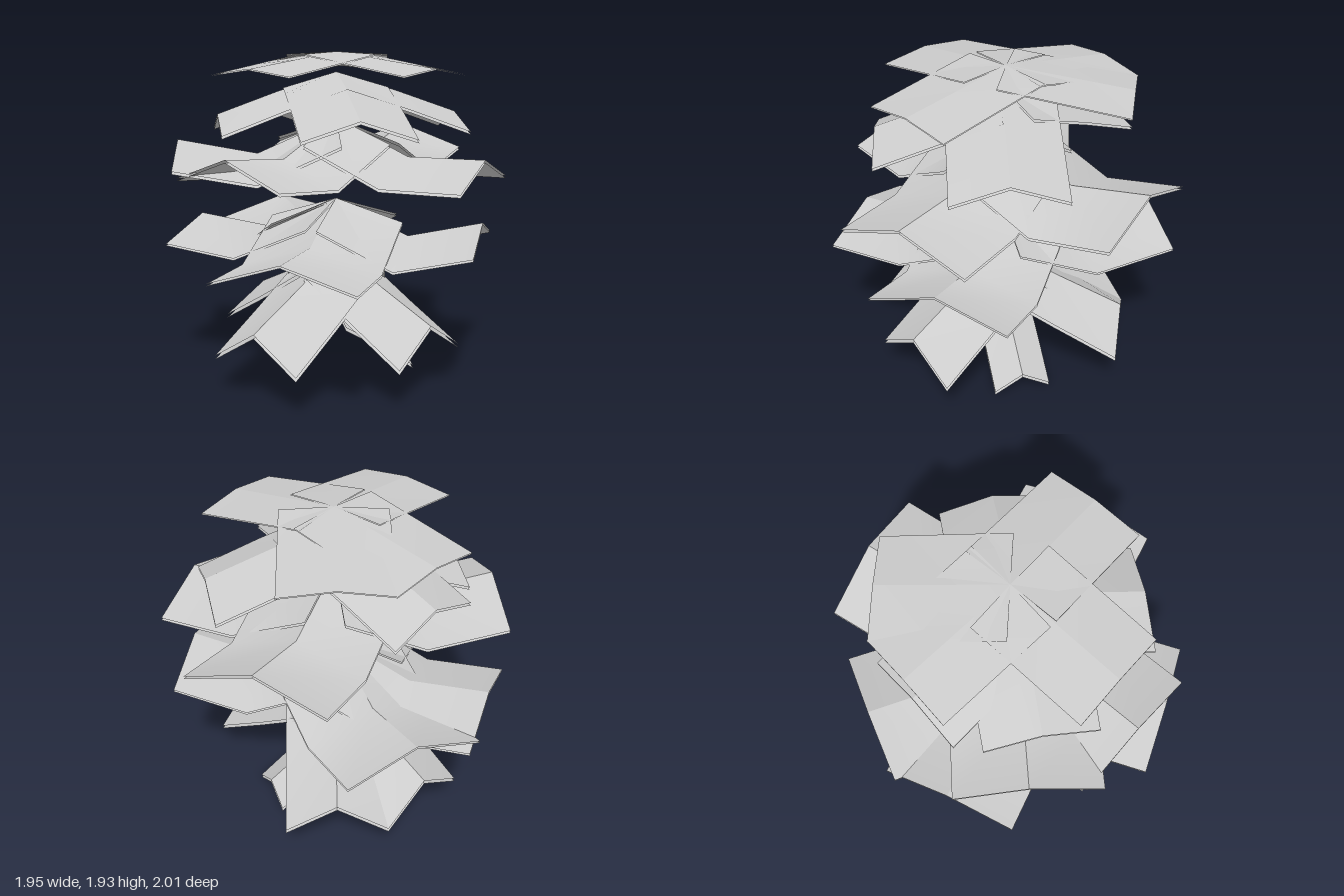
import * as THREE from 'three';

const material = new THREE.MeshStandardMaterial({ color: 0xcccccc, side: THREE.DoubleSide });

// One half of a roof-shaped leaf: runs along +z with its ridge at x = 0.
// The ridge bends once, halfway, between midDrop and tipDrop.
function halfLeaf(side, length, tipDrop, { halfWidth, midDrop, sideStart, sideEnd }) {
  const g = new THREE.PlaneGeometry(halfWidth, length, 1, 2);
  g.rotateX(-Math.PI / 2);
  g.translate(side * halfWidth / 2, 0, length / 2);
  const p = g.attributes.position;
  for (let i = 0; i < p.count; i++) {
    const t = p.getZ(i) / length;
    const s = Math.abs(p.getX(i)) / halfWidth;
    const ridge = t < 0.5 ? 2 * t * midDrop : THREE.MathUtils.lerp(midDrop, tipDrop, 2 * t - 1);
    p.setY(i, -ridge - s * THREE.MathUtils.lerp(sideStart, sideEnd, t));
  }
  g.computeVertexNormals();
  return g;
}

// A folded leaf with a second thin layer just beneath it.
function makeLeaf([azimuth, length, tipDrop], tier) {
  const leaf = new THREE.Group();
  leaf.name = 'leaf';
  for (const side of [-1, 1]) {
    const geometry = halfLeaf(side, length, tipDrop, tier);
    for (const layer of [0, 1]) {
      const mesh = new THREE.Mesh(geometry, material);
      mesh.name = layer ? 'leafUnderside' : 'leafTop';
      mesh.position.y = -tier.gap * layer;
      leaf.add(mesh);
    }
  }
  leaf.rotation.y = Math.PI / 2 - THREE.MathUtils.degToRad(azimuth);
  return leaf;
}

// Tiers from top to bottom; each leaf is [azimuth from +x towards +z, length, ridge drop at tip].
const tiers = [
  { name: 'crownTier', x: 0.01, y: 1.93, z: -0.03, halfWidth: 0.295, midDrop: 0.045, sideStart: 0.015, sideEnd: 0.035, gap: 0.006,
    leaves: [[-119, 0.7, 0.09], [-74, 0.7, 0.09], [144, 0.71, 0.09], [53, 0.69, 0.09]] },
  { name: 'upperTier', x: 0, y: 1.815, z: 0, halfWidth: 0.31, midDrop: 0.11, sideStart: 0.09, sideEnd: 0.1, gap: 0.015,
    leaves: [[2, 0.72, 0.235], [93, 0.7, 0.235], [182, 0.69, 0.235], [-119, 0.72, 0.235]] },
  { name: 'middleTier', x: 0, y: 1.55, z: 0, halfWidth: 0.405, midDrop: 0.205, sideStart: 0.13, sideEnd: 0.135, gap: 0.015,
    leaves: [[-48, 0.955, 0.105], [40, 0.91, 0.2], [-171, 0.92, 0.12], [145, 0.87, 0.17]] },
  { name: 'lowerTier', x: 0, y: 1.075, z: 0, halfWidth: 0.408, midDrop: 0.205, sideStart: 0.125, sideEnd: 0.125, gap: 0.012,
    leaves: [[121, 0.935, 0.2], [-100, 0.945, 0.12], [-142, 0.94, 0.16], [29, 0.87, 0.105]] },
  { name: 'skirtTier', x: 0, y: 0.76, z: 0, halfWidth: 0.295, midDrop: 0.175, sideStart: 0.11, sideEnd: 0.18, gap: 0.022,
    leaves: [[140, 0.75, 0.34], [53, 0.69, 0.34], [-74, 0.75, 0.34], [-117, 0.75, 0.34]] },
  { name: 'bottomSprig', x: 0, y: 0.4, z: -0.02, halfWidth: 0.17, midDrop: 0.13, sideStart: 0.085, sideEnd: 0.1, gap: 0.02,
    leaves: [[-9, 0.45, 0.28]] },
];

export function createModel() {
  const model = new THREE.Group();
  model.name = 'foliage';
  for (const tier of tiers) {
    const group = new THREE.Group();
    group.name = tier.name;
    group.position.set(tier.x, tier.y, tier.z);
    for (const leaf of tier.leaves) group.add(makeLeaf(leaf, tier));
    model.add(group);
  }
  return model;
}
